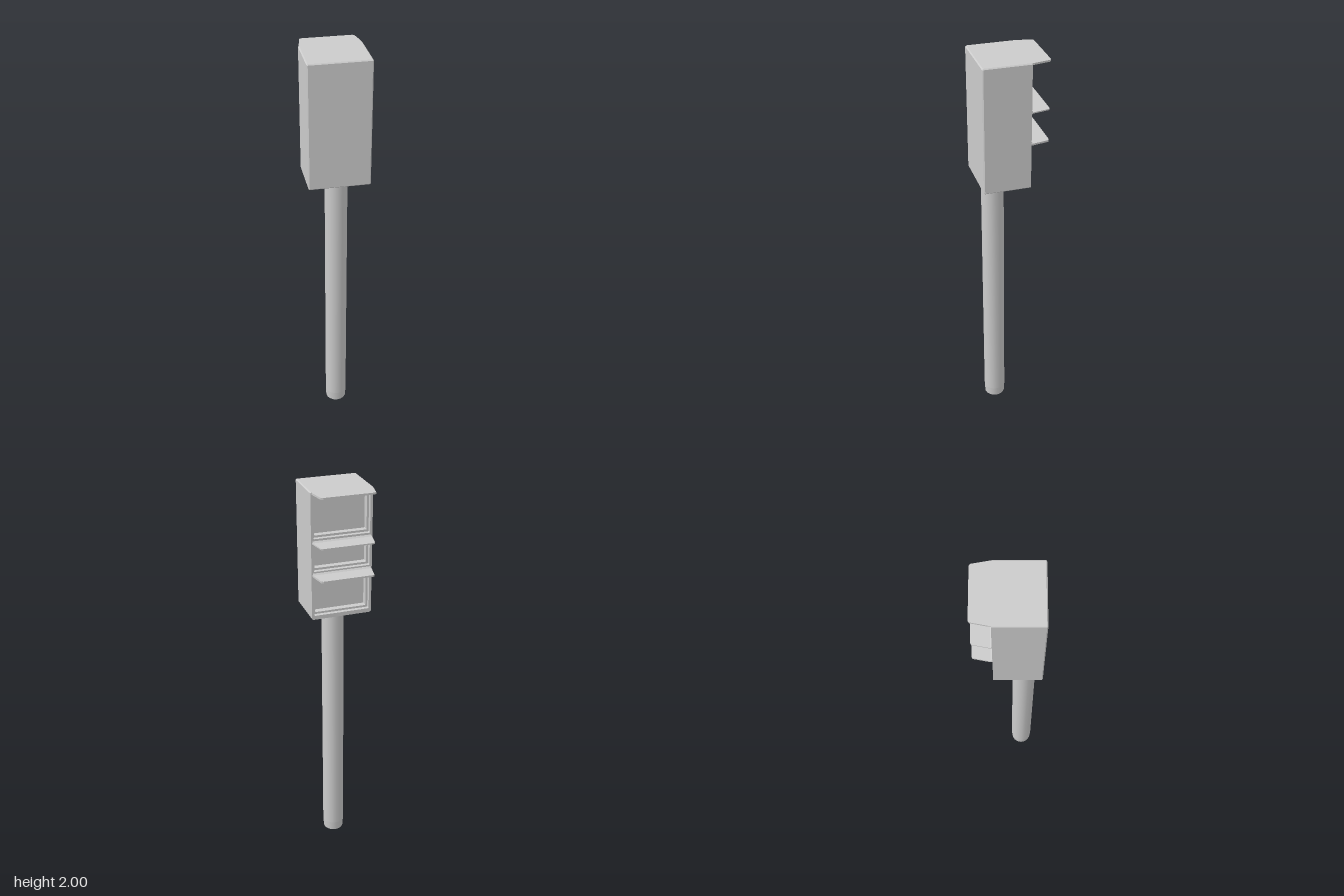
import * as THREE from 'three';

const mat = new THREE.MeshStandardMaterial({ color: 0xcccccc });
const flat = new THREE.MeshStandardMaterial({ color: 0xcccccc, flatShading: true });

// rectangle with cut corners, wound counter-clockwise
function cutRect(path, x0, y0, x1, y1, c) {
  path.setFromPoints([
    [x0 + c, y0], [x1 - c, y0], [x1, y0 + c], [x1, y1 - c],
    [x1 - c, y1], [x0 + c, y1], [x0, y1 - c], [x0, y0 + c],
  ].map(([x, y]) => new THREE.Vector2(x, y)));
  path.closePath();
  return path;
}

export function createModel() {
  const group = new THREE.Group();
  const add = (name, geometry, material = flat) => {
    const mesh = new THREE.Mesh(geometry, material);
    mesh.name = name;
    group.add(mesh);
    return mesh;
  };
  const yLow = 1.375, yHigh = 2, half = 0.15, bevel = 0.005;

  // Post with a slightly narrowed foot
  const r = 0.056;
  const post = add('post', new THREE.CylinderGeometry(r, r, 1.35, 16), mat);
  post.position.set(-0.003, 0.725, 0.078);
  const foot = add('foot', new THREE.CylinderGeometry(r, 0.053, 0.05, 16), mat);
  foot.position.set(-0.003, 0.025, 0.078);

  // Solid housing, chamfered toward the front
  const core = cutRect(new THREE.Shape(), -half + bevel, yLow + bevel, half - bevel, yHigh - bevel, 0.002);
  const housing = add('housing', new THREE.ExtrudeGeometry(core, {
    depth: 0.17, bevelThickness: bevel, bevelSize: bevel, bevelSegments: 1,
  }));
  housing.position.z = -0.015;

  // Stepped frame around three recessed panels on the back
  const openings = [[1.395, 1.59], [1.62, 1.75], [1.78, 1.988]];
  const frame = (name, inset, z0, z1) => {
    const shape = cutRect(new THREE.Shape(), -half, yLow, half, yHigh, 0.005);
    for (const [y0, y1] of openings) {
      shape.holes.push(cutRect(new THREE.Path(),
        -half + 0.012 + inset, y0 + inset, half - 0.012 - inset, y1 - inset * 0.6, 0.002));
    }
    add(name, new THREE.ExtrudeGeometry(shape, { depth: z1 - z0, bevelEnabled: false })).position.z = z0;
  };
  frame('outerFrame', 0, -0.07, -0.05);
  frame('innerFrame', 0.01, -0.05, -0.015);

  // Tapering visors, each with a small wedge at its root
  const outline = [[0.145, 0.065], [0.145, 0.08], [0.13, 0.158], [0.12, 0.163]];
  const visorShape = new THREE.Shape(
    [...outline, ...outline.map(([x, z]) => [-x, z]).reverse()].map(([x, z]) => new THREE.Vector2(x, z)));
  const wedgeShape = (up) => new THREE.Shape(
    [[0.065, -0.011], [0.071, -0.011], [0.079, -0.004], [0.079, 0], [0.071, up], [0.065, up]]
      .map(([z, y]) => new THREE.Vector2(z, y)));
  [['lower', 1.606, 0.009, 0.007], ['middle', 1.764, 0.006, 0.007], ['upper', 2, 0.009, 0]]
    .forEach(([name, top, thick, up]) => {
      const visor = add(name + 'Visor', new THREE.ExtrudeGeometry(visorShape, { depth: thick, bevelEnabled: false }));
      visor.rotation.x = -Math.PI / 2;
      visor.position.y = top - thick;
      const wedge = add(name + 'VisorRoot', new THREE.ExtrudeGeometry(wedgeShape(up), { depth: 0.286, bevelEnabled: false }));
      wedge.rotation.y = Math.PI / 2;
      wedge.position.set(-0.143, top - 0.0005, 0);
    });
  return group;
}
